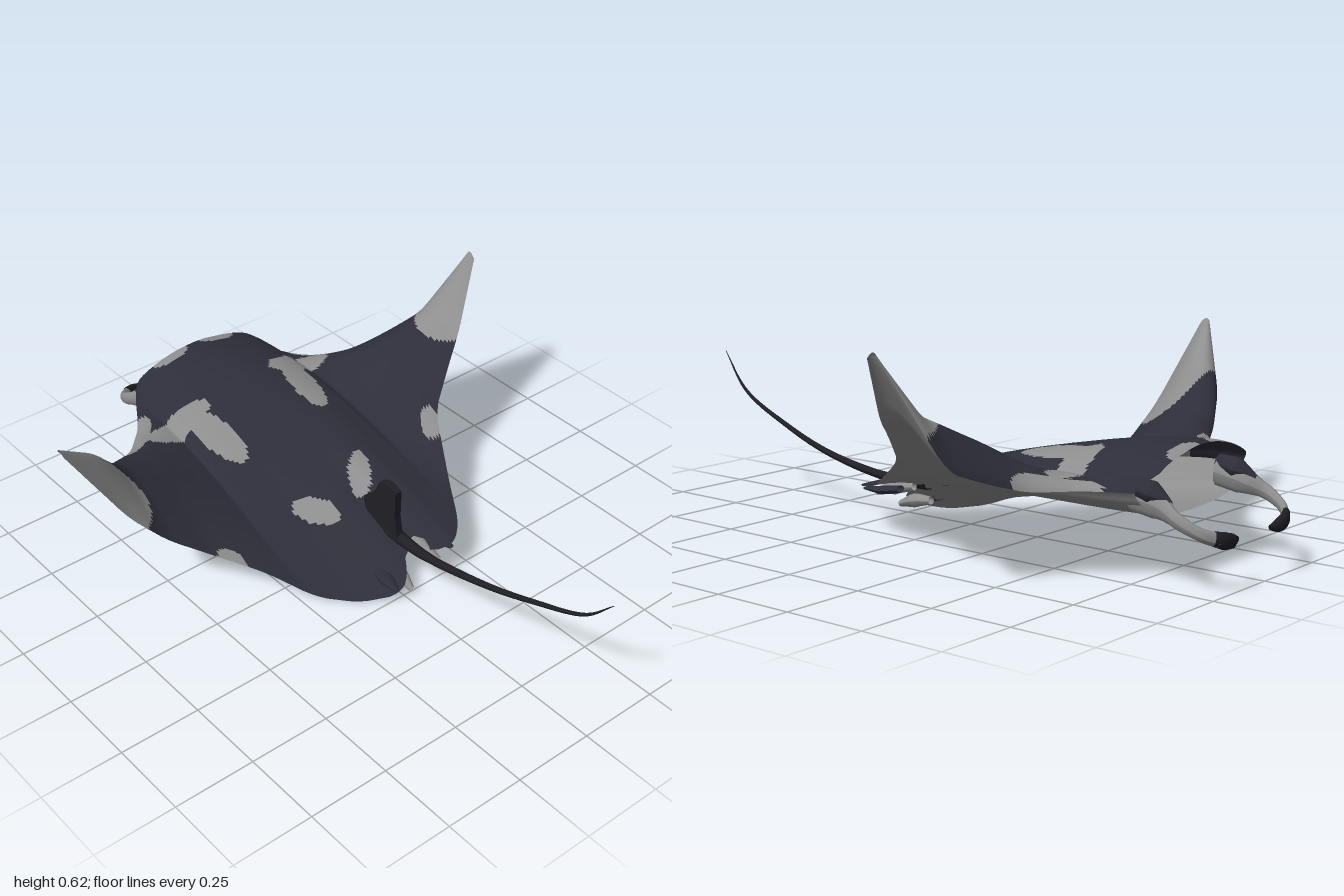
import * as THREE from 'three';

const mat = (name, color) => {
  const m = new THREE.MeshStandardMaterial({ color, side: THREE.DoubleSide });
  m.name = name;
  return m;
};

// Body across the span: x, leading z, trailing z, leading y, trailing y, arch of the back
const STATIONS = [
  [-.77, -.33, -.30, .565, .56, .01],
  [-.62, -.46, -.235, .37, .31, .10],
  [-.52, -.51, -.20, .28, .20, .08],
  [-.40, -.565, -.13, .25, .12, .075],
  [-.30, -.67, -.03, .24, .07, .065],
  [-.21, -.82, .10, .245, .01, .06],
  [-.12, -.82, .19, .25, 0, .06],
  [-.03, -.82, .26, .255, .025, .06],
  [.02, -.82, .25, .255, .06, .06],
  [.07, -.82, .16, .255, .10, .06],
  [.11, -.82, .25, .25, .11, .06],
  [.18, -.82, .27, .25, .12, .06],
  [.25, -.82, .21, .25, .13, .06],
  [.33, -.66, .08, .25, .16, .07],
  [.44, -.56, -.11, .25, .275, .105],
  [.54, -.51, -.17, .28, .36, .10],
  [.64, -.46, -.23, .32, .43, .09],
  [.77, -.34, -.31, .62, .61, .01],
];

// Straight runs between stations, with softened corners
function station(x) {
  const sample = u => {
    const next = STATIONS.findIndex(s => s[0] > u);
    const i = next < 0 ? STATIONS.length - 2 : Math.max(next - 1, 0);
    const a = STATIONS[i], b = STATIONS[i + 1], t = (u - a[0]) / (b[0] - a[0]);
    return a.map((v, c) => v + (b[c] - v) * t);
  };
  const [p, q, r] = [x - .02, x, x + .02].map(sample);
  return q.map((v, c) => (p[c] + v + r[c]) / 3);
}

// Pale markings, mirrored about the spine: offset x, z, radius x, radius z, turn
const SPINE = .02;
const SPOTS = [
  [.695, -.31, .16, .12, 0],
  [.37, -.615, .12, .045, -.75],
  [.235, -.57, .115, .045, 0],
  [.17, -.46, .046, .125, -.15],
  [.085, -.08, .035, .075, -.6],
  [.09, -.81, .065, .03, 0],
  [.385, -.095, .03, .05, -.5],
];
const inSpot = (x, z) => SPOTS.some(([cx, cz, rx, rz, a]) => {
  const dx = Math.abs(x - SPINE) - cx, dz = z - cz, c = Math.cos(a), s = Math.sin(a);
  return ((dx * c - dz * s) / rx) ** 2 + ((dx * s + dz * c) / rz) ** 2 < 1;
});

// One skin of the body; the two skins part at the front to form an oval mouth
function skin(top) {
  const NX = 180, NT = 110, pos = [], groups = [[], []];
  for (let i = 0; i <= NX; i++) {
    const [x, zl, zt, yl, yt, arch] = station(-.77 + 1.54 * i / NX);
    const gap = .095 * Math.sqrt(Math.max(0, 1 - ((x - SPINE) / .25) ** 2));
    const lead = top ? zl : zl + gap * .55;
    const front = yl + (top ? gap : -gap);
    for (let j = 0; j <= NT; j++) {
      const t = j / NT;
      const rise = top ? arch * Math.sin(Math.PI * t ** .75) : arch * .45 * Math.sin(Math.PI * t ** 1.6);
      pos.push(x, Math.max(front + (yt - front) * t + rise, 0), lead + (zt - lead) * t);
    }
  }
  for (let i = 0; i < NX; i++) for (let j = 0; j < NT; j++) {
    const a = i * (NT + 1) + j, b = a + NT + 1;
    const x = (pos[3 * a] + pos[3 * b]) / 2, z = (pos[3 * a + 2] + pos[3 * b + 5]) / 2;
    const list = groups[top && !inSpot(x, z) ? 0 : 1];
    if (top) list.push(a, a + 1, b, b, a + 1, b + 1);
    else list.push(a, b, a + 1, b, b + 1, a + 1);
  }
  const g = new THREE.BufferGeometry();
  g.setAttribute('position', new THREE.Float32BufferAttribute(pos, 3));
  g.setIndex([...groups[0], ...groups[1]]);
  g.addGroup(0, groups[0].length, 0);
  g.addGroup(groups[0].length, groups[1].length, 1);
  g.computeVertexNormals();
  return g;
}

// Tube whose radius follows a list, optionally taller than wide
function taperTube(points, radii, stretchY = 1) {
  const seg = 40, sides = 10;
  const curve = new THREE.CatmullRomCurve3(points.map(p => new THREE.Vector3(...p)));
  const g = new THREE.TubeGeometry(curve, seg, 1, sides, false);
  const p = g.attributes.position, v = new THREE.Vector3();
  for (let i = 0; i <= seg; i++) {
    const c = curve.getPointAt(i / seg), f = i / seg * (radii.length - 1);
    const k = Math.min(Math.floor(f), radii.length - 2);
    const r = radii[k] + (radii[k + 1] - radii[k]) * (f - k);
    for (let j = 0; j <= sides; j++) {
      const n = i * (sides + 1) + j;
      v.fromBufferAttribute(p, n).sub(c).multiplyScalar(r);
      p.setXYZ(n, c.x + v.x, c.y + v.y * stretchY, c.z + v.z);
    }
  }
  g.computeVertexNormals();
  return g;
}

export function createModel() {
  const group = new THREE.Group();
  const dark = mat('dark slate', 0x2e2e3a), pale = mat('pale grey', 0x8e8e8e), black = mat('near black', 0x1f1f25);
  const add = (name, geo, m) => {
    const mesh = new THREE.Mesh(geo, m);
    mesh.name = name;
    group.add(mesh);
    return mesh;
  };

  // Body with wings
  add('back', skin(true), [dark, pale]);
  add('belly', skin(false), [dark, pale]);

  // Curled head fins beside the mouth, with dark roots and tips
  for (const [side, s] of [['left', 1], ['right', -1]]) {
    const at = (x, y, z) => [.027 + s * x, y, z];
    add(side + 'HeadFin', taperTube(
      [at(.205, .235, -.74), at(.205, .22, -.82), at(.222, .19, -.89), at(.205, .162, -.945), at(.165, .143, -.978)],
      [.025, .025, .014, .011, .012], 1.7), pale);
    add(side + 'HeadFinRoot', taperTube(
      [at(.21, .258, -.74), at(.205, .248, -.80), at(.21, .23, -.86)], [.022, .03, .006], 1.1), dark);
    add(side + 'HeadFinTip', taperTube(
      [at(.18, .15, -.97), at(.155, .142, -.981), at(.12, .135, -.985), at(.08, .133, -.98)],
      [.012, .014, .012, .004], 1.7), black);
  }

  // Whip tail
  add('tail', taperTube(
    [[.07, .125, .10], [.072, .12, .25], [.08, .165, .5], [.078, .235, .7], [.068, .325, .89], [.05, .44, 1]],
    [.022, .013, .01, .008, .006, .001]), black);

  // Dorsal fin in front of the tail
  const fin = new THREE.Shape();
  fin.moveTo(.02, .13);
  fin.lineTo(0, .20);
  fin.quadraticCurveTo(.05, .23, .07, .29);
  fin.quadraticCurveTo(.10, .315, .145, .29);
  fin.lineTo(.143, .20);
  fin.lineTo(.16, .11);
  const finGeo = new THREE.ExtrudeGeometry(fin, { depth: .024, bevelEnabled: false });
  finGeo.rotateY(-Math.PI / 2);
  add('dorsalFin', finGeo, black).position.x = .076;

  // Small rear claspers and pelvic flaps on each side of the tail
  for (const [side, x, y, s] of [['left', .105, .105, 1], ['right', .03, .05, -1]]) {
    add(side + 'Clasper', taperTube(
      [[x, y + .01, .13], [x + s * .006, y, .20], [x + s * .015, y - .02, .265]], [.012, .022, .01]), pale);
    add(side + 'PelvicFlap', taperTube(
      [[x + s * .05, y + .01, .14], [x + s * .06, y, .21], [x + s * .07, y, .265]], [.02, .025, .008], .5), dark);
  }
  return group;
}
